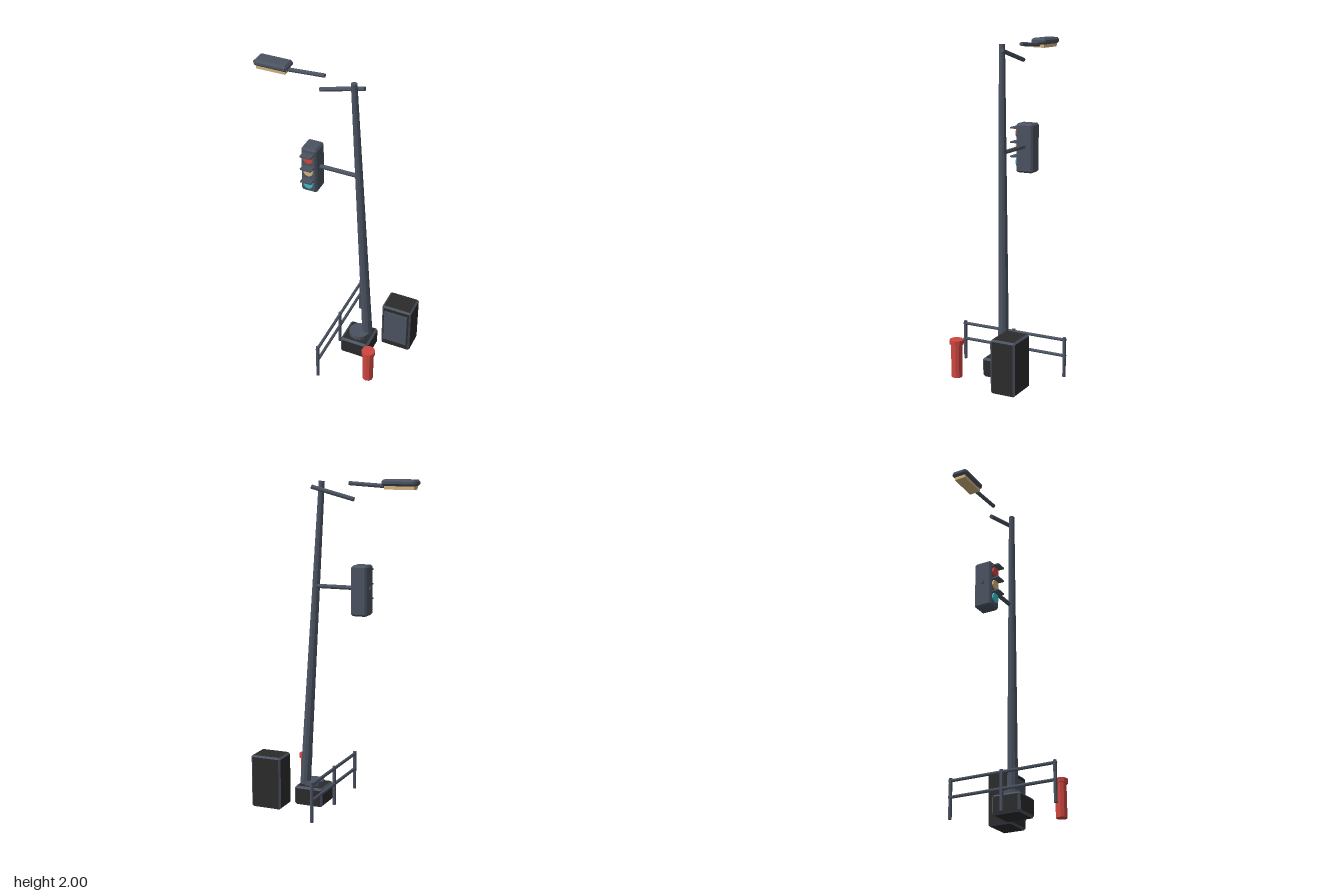
import * as THREE from 'three';
import { ConvexGeometry } from 'three/addons/geometries/ConvexGeometry.js';

const material = (name, color) => {
  const m = new THREE.MeshStandardMaterial({ color });
  m.name = name;
  return m;
};

// Box with chamfered edges; group 0 holds the six flat faces, group 1 the chamfers.
function chamferBox(w, h, d, c) {
  const pts = [];
  for (const sx of [-1, 1]) for (const sy of [-1, 1]) for (const sz of [-1, 1]) {
    for (let k = 0; k < 3; k++) {
      const i = [c, c, c];
      i[k] = 0;
      pts.push(new THREE.Vector3(sx * (w / 2 - i[0]), sy * (h / 2 - i[1]), sz * (d / 2 - i[2])));
    }
  }
  const hull = new ConvexGeometry(pts);
  const p = hull.attributes.position.array, n = hull.attributes.normal.array;
  const flat = [], slanted = [];
  for (let i = 0; i < p.length; i += 9) {
    const axial = Math.max(Math.abs(n[i]), Math.abs(n[i + 1]), Math.abs(n[i + 2])) > 0.99;
    (axial ? flat : slanted).push(...p.slice(i, i + 9));
  }
  const g = new THREE.BufferGeometry();
  g.setAttribute('position', new THREE.Float32BufferAttribute(flat.concat(slanted), 3));
  g.computeVertexNormals();
  g.addGroup(0, flat.length / 3, 0);
  g.addGroup(flat.length / 3, slanted.length / 3, 1);
  return g;
}

export function createModel() {
  const root = new THREE.Group();
  root.name = 'streetCorner';

  const slate = material('slate metal', 0x4b5361);
  const dark = material('dark casing', 0x2b2b2b);
  const red = material('red', 0xcf4640);
  const amber = material('warm lens', 0xd2b480);
  const cyan = material('cyan lens', 0x3fbfc9);

  const add = (parent, name, geo, mat, x = 0, y = 0, z = 0) => {
    const m = new THREE.Mesh(geo, mat);
    m.name = name;
    m.position.set(x, y, z);
    parent.add(m);
    return m;
  };

  const group = (name) => {
    const g = new THREE.Group();
    g.name = name;
    root.add(g);
    return g;
  };

  // Faceted rod running from a to b
  const rod = (parent, name, a, b, ra, rb, sides, mat = slate) => {
    const A = new THREE.Vector3(...a), B = new THREE.Vector3(...b);
    const dir = B.clone().sub(A);
    const geo = new THREE.CylinderGeometry(rb, ra, dir.length(), sides).toNonIndexed();
    geo.computeVertexNormals();
    geo.clearGroups();
    const m = add(parent, name, geo, mat);
    m.position.copy(A).add(B).multiplyScalar(0.5);
    m.quaternion.setFromUnitVectors(new THREE.Vector3(0, 1, 0), dir.normalize());
    return m;
  };

  // Leaning pole on its plinth
  const pole = group('lampPost');
  add(pole, 'plinth', chamferBox(0.188, 0.12, 0.188, 0.013), [dark, slate], 0.169, 0.06, 0);
  rod(pole, 'plinthCollar', [0.169, 0.115, 0], [0.169, 0.145, 0], 0.066, 0.066, 14);
  rod(pole, 'pole', [0.214, 0.125, -0.027], [0.122, 1.985, 0.028], 0.033, 0.018, 10);

  // Broken lamp arm in two pieces, with the lamp head at the far end
  const lamp = group('streetLamp');
  rod(lamp, 'innerArm', [0.175, 1.951, 0], [-0.094, 1.882, 0], 0.013, 0.013, 8);
  rod(lamp, 'outerArm', [-0.064, 1.975, 0], [-0.3, 1.96, 0], 0.012, 0.012, 8);
  add(lamp, 'lampHead', chamferBox(0.208, 0.038, 0.1, 0.012), slate, -0.383, 1.981, -0.002);
  add(lamp, 'lampLens', new THREE.BoxGeometry(0.18, 0.024, 0.07), amber, -0.383, 1.954, -0.002);

  // Traffic signal on its bracket
  const signal = group('trafficSignal');
  rod(signal, 'bracket', [0.155, 1.362, 0], [-0.205, 1.362, 0], 0.013, 0.013, 8);
  add(signal, 'housing', chamferBox(0.1, 0.3, 0.113, 0.011), slate, -0.147, 1.35, -0.001);
  [['redLight', red, 1.437], ['amberLight', amber, 1.349], ['cyanLight', cyan, 1.261]]
    .forEach(([name, mat, y]) => {
      rod(signal, name, [-0.147, y, 0.05], [-0.147, y, 0.066], 0.031, 0.031, 10, mat);
      add(signal, name + 'Visor', new THREE.BoxGeometry(0.07, 0.009, 0.05), slate, -0.147, y + 0.031, 0.076);
    });

  // Guard rail: three posts and two rails
  const rail = group('guardRail');
  for (const z of [-0.343, 0, 0.343]) {
    rod(rail, 'railPost', [0.032, 0, z], [0.032, 0.247, z], 0.011, 0.011, 8);
  }
  for (const y of [0.132, 0.232]) {
    rod(rail, 'crossRail', [0.032, y, -0.353], [0.032, y, 0.353], 0.01, 0.01, 8);
  }

  // Utility cabinet with a raised door
  const cabinet = group('utilityCabinet');
  add(cabinet, 'cabinetBody', chamferBox(0.196, 0.328, 0.158, 0.011), [dark, slate], 0.386, 0.169, -0.161);
  add(cabinet, 'cabinetDoor', new THREE.BoxGeometry(0.156, 0.24, 0.012), slate, 0.385, 0.178, -0.08);

  // Red bollard with a wider cap
  const bollard = group('bollard');
  rod(bollard, 'bollardPost', [0.328, 0, 0.232], [0.328, 0.21, 0.232], 0.034, 0.034, 10, red);
  rod(bollard, 'bollardCap', [0.328, 0.206, 0.232], [0.328, 0.234, 0.232], 0.043, 0.043, 10, red);

  return root;
}
